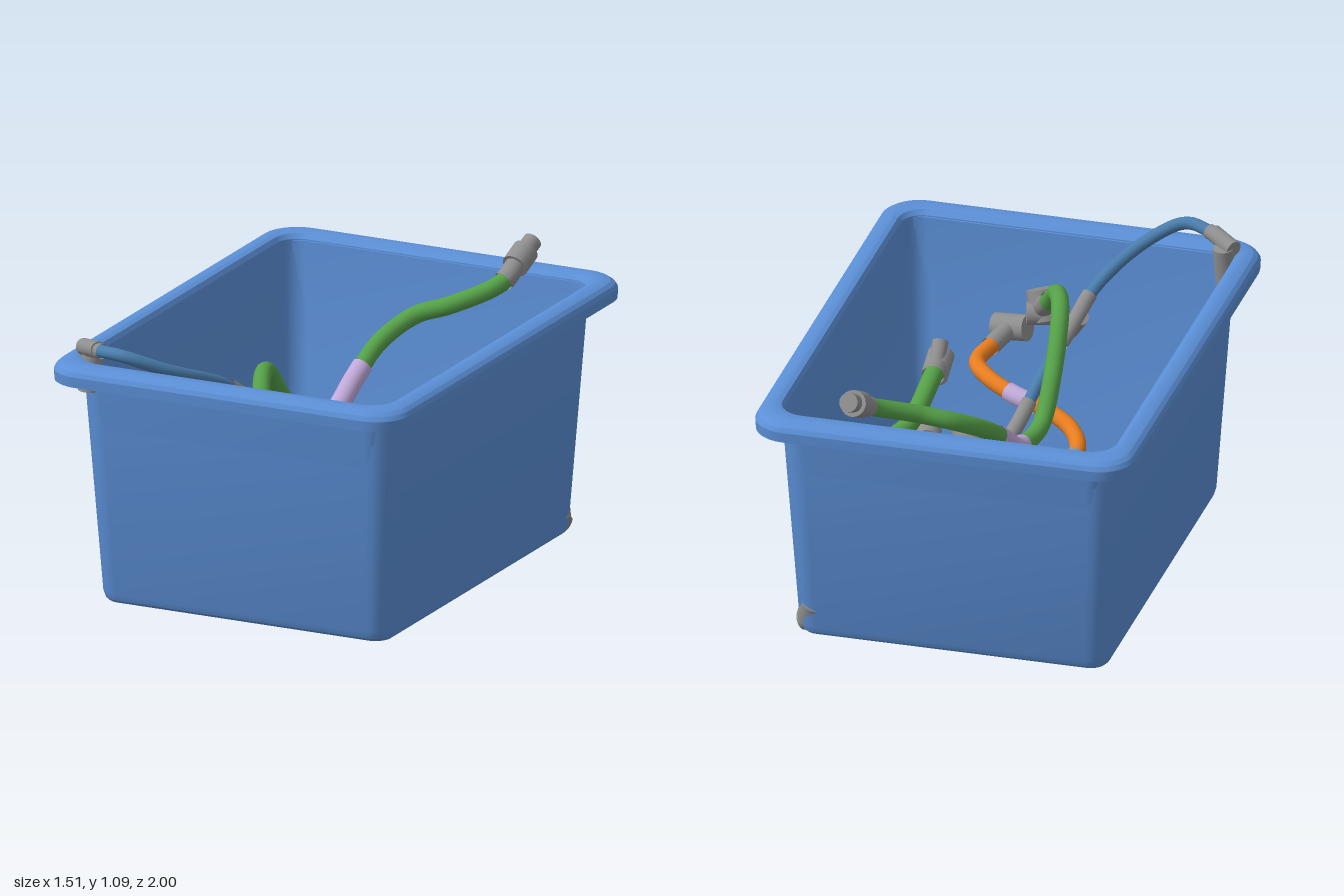
import * as THREE from 'three';
import { toCreasedNormals } from 'three/addons/utils/BufferGeometryUtils.js';

const material = (name, color, side = THREE.DoubleSide) =>
  Object.assign(new THREE.MeshStandardMaterial({ color, side }), { name });

export function createModel() {
  const group = new THREE.Group();
  const tubBlue = material('tub blue', 0x5b8fd6);
  const green = material('hose green', 0x55a048);
  const orange = material('hose orange', 0xee8020);
  const steelBlue = material('hose blue', 0x4a7dac);
  const lavender = material('sleeve lavender', 0xc0a8d8);
  const gray = material('fitting gray', 0x8e8e8e);

  const add = (name, geometry, mat) => {
    const mesh = new THREE.Mesh(geometry, mat);
    mesh.name = name;
    group.add(mesh);
    return mesh;
  };

  // Tub: rounded rectangles [y, half width, half length, corner radius], lofted
  // up the outside, under and over the hollow rim and down the inside
  const sections = [
    [0.01, 0, 0, 0], [0.01, 0.565, 0.755, 0.05], [0.014, 0.577, 0.768, 0.06], [0.025, 0.588, 0.78, 0.07],
    [0.05, 0.596, 0.79, 0.08], [0.945, 0.652, 0.858, 0.1], [0.945, 0.70, 0.955, 0.125], [0.895, 0.712, 0.967, 0.13],
    [0.895, 0.724, 0.979, 0.135], [0.935, 0.726, 0.981, 0.135], [0.952, 0.718, 0.973, 0.135], [0.964, 0.704, 0.959, 0.13],
    [0.971, 0.685, 0.938, 0.125], [0.972, 0.66, 0.91, 0.11], [0.967, 0.643, 0.885, 0.1], [0.95, 0.632, 0.866, 0.085],
    [0.07, 0.577, 0.772, 0.07], [0.045, 0.57, 0.765, 0.065], [0.03, 0.557, 0.752, 0.06], [0.025, 0.535, 0.73, 0.05],
    [0.025, 0, 0, 0],
  ];
  const steps = 7, count = 4 * (steps + 1);
  const positions = [], index = [];
  sections.forEach(([y, w, l, r], i) => {
    for (let c = 0; c < 4; c++) {
      const sx = c === 0 || c === 3 ? 1 : -1, sz = c < 2 ? 1 : -1;
      for (let k = 0; k <= steps; k++) {
        const a = (c + k / steps) * Math.PI / 2;
        positions.push(sx * (w - r) + r * Math.cos(a), y, sz * (l - r) + r * Math.sin(a));
      }
    }
    if (i === 0) return;
    for (let j = 0; j < count; j++) {
      const a = (i - 1) * count + j, b = (i - 1) * count + (j + 1) % count;
      index.push(a, a + count, b, b, a + count, b + count);
    }
  });
  const tub = new THREE.BufferGeometry();
  tub.setAttribute('position', new THREE.Float32BufferAttribute(positions, 3));
  tub.setIndex(index);
  add('tub', toCreasedNormals(tub, 0.32), tubBlue).rotation.y = -0.033;

  // Straight round fitting between two points
  const rod = (name, mat, r, from, to) => {
    const a = new THREE.Vector3(...from), b = new THREE.Vector3(...to);
    const mesh = add(name, new THREE.CylinderGeometry(r, r, a.distanceTo(b), 20), mat);
    mesh.position.copy(a).add(b).multiplyScalar(0.5);
    mesh.quaternion.setFromUnitVectors(new THREE.Vector3(0, 1, 0), b.sub(a).normalize());
  };

  // Hose through points; sleeves cover [from, to] counted in path points
  const hose = (name, mat, r, path, sleeves) => {
    const curve = new THREE.CatmullRomCurve3(path.map(p => new THREE.Vector3(...p)));
    const last = path.length - 1;
    add(name, new THREE.TubeGeometry(curve, 100, r, 14), mat);
    for (const [from, to, sleeveMat] of sleeves) {
      const part = [];
      for (let k = 0; k <= 6; k++) part.push(curve.getPoint((from + (to - from) * k / 6) / last));
      const tube = new THREE.TubeGeometry(new THREE.CatmullRomCurve3(part), 14, r + 0.005, 16);
      add(name + 'Sleeve', tube, sleeveMat);
    }
  };

  // Upper green hose, leaning over the back rim
  hose('upperGreenHose', green, 0.034, [
    [0.37, 1.0, -0.79], [0.35, 0.95, -0.70], [0.2, 0.88, -0.58], [0.08, 0.84, -0.53], [-0.01, 0.76, -0.41],
    [-0.045, 0.66, -0.27], [-0.07, 0.56, -0.13], [-0.11, 0.56, 0.05], [-0.12, 0.7, 0.2], [-0.10, 0.87, 0.40],
    [-0.05, 0.86, 0.55], [0.01, 0.76, 0.66], [0.05, 0.70, 0.74],
  ], [[0, 0.9, gray], [4.7, 6.2, lavender], [10.8, 12, gray]]);
  rod('upperGreenCap', gray, 0.05, [0.368, 0.995, -0.78], [0.378, 1.035, -0.855]);
  rod('upperGreenTip', gray, 0.036, [0.378, 1.035, -0.85], [0.385, 1.06, -0.9]);
  rod('upperGreenElbow', gray, 0.044, [-0.03, 0.67, 0.77], [0.11, 0.67, 0.73]);
  rod('upperGreenFoot', gray, 0.055, [0.04, 0.64, 0.75], [0.07, 0.75, 0.785]);

  // Thin blue hose, arching over the front left rim
  hose('blueHose', steelBlue, 0.024, [
    [-0.64, 1.0, 0.80], [-0.55, 1.02, 0.87], [-0.45, 1.025, 0.905], [-0.31, 0.965, 0.82], [-0.18, 0.87, 0.61],
    [-0.13, 0.78, 0.48], [-0.06, 0.65, 0.27], [-0.01, 0.53, 0.11], [0.04, 0.45, 0.02], [0.16, 0.37, -0.16],
    [0.3, 0.3, -0.29], [0.41, 0.22, -0.47], [0.48, 0.15, -0.6], [0.55, 0.07, -0.72],
  ], [[0, 1, gray], [4.2, 5.4, gray], [6.5, 7.8, gray], [10.75, 11.5, lavender], [11.5, 13, gray]]);
  rod('blueSocket', gray, 0.032, [-0.665, 1.0, 0.785], [-0.57, 1.02, 0.86]);
  rod('blueElbow', gray, 0.04, [-0.625, 1.0, 0.79], [-0.632, 0.84, 0.81]);
  rod('blueBranch', gray, 0.035, [-0.15, 0.8, 0.5], [-0.09, 0.7, 0.58]);
  rod('blueCornerElbow', gray, 0.055, [0.55, 0.14, -0.73], [0.575, 0.06, -0.70]);
  rod('blueCornerTip', gray, 0.042, [0.54, 0.075, -0.72], [0.605, 0.045, -0.70]);

  // Orange hose along the back and right-hand side
  hose('longOrangeHose', orange, 0.031, [
    [-0.45, 0.32, -0.72], [-0.43, 0.34, -0.53], [-0.34, 0.37, -0.42], [-0.2, 0.38, -0.38], [-0.06, 0.38, -0.38],
    [0.09, 0.36, -0.385], [0.2, 0.29, -0.34], [0.26, 0.23, -0.2], [0.31, 0.2, 0.0], [0.335, 0.2, 0.18],
    [0.35, 0.2, 0.33], [0.30, 0.19, 0.46], [0.28, 0.17, 0.58],
  ], [[0, 0.95, gray], [2.7, 4.05, lavender], [6.7, 7.25, lavender], [8.75, 9.25, lavender], [10.7, 12, gray]]);
  rod('longOrangeTee', gray, 0.044, [-0.55, 0.32, -0.715], [-0.37, 0.32, -0.735]);
  rod('longOrangeTeeCap', gray, 0.052, [-0.42, 0.32, -0.73], [-0.35, 0.32, -0.74]);
  rod('longOrangeSocket', gray, 0.042, [-0.45, 0.32, -0.72], [-0.44, 0.335, -0.6]);
  rod('longOrangeBranch', lavender, 0.034, [0.25, 0.24, -0.18], [0.42, 0.26, -0.21]);
  rod('longOrangeCollar', lavender, 0.04, [0.33, 0.2, 0.155], [0.336, 0.2, 0.205]);
  rod('longOrangeValve', lavender, 0.02, [0.38, 0.21, 0.17], [0.23, 0.23, 0.185]);
  rod('longOrangeValveHead', lavender, 0.03, [0.25, 0.23, 0.185], [0.18, 0.24, 0.185]);
  rod('longOrangeCap', gray, 0.062, [0.28, 0.12, 0.58], [0.31, 0.23, 0.64]);

  // Orange hose winding through the middle
  hose('windingOrangeHose', orange, 0.031, [
    [0.35, 0.2, -0.6], [0.2, 0.22, -0.55], [0.08, 0.24, -0.47], [-0.02, 0.28, -0.34], [-0.13, 0.37, -0.19],
    [-0.2, 0.43, -0.08], [-0.25, 0.47, 0.05], [-0.2, 0.5, 0.17], [-0.08, 0.53, 0.25], [0.05, 0.55, 0.3],
    [0.17, 0.57, 0.38], [0.24, 0.57, 0.5], [0.21, 0.58, 0.64], [0.18, 0.59, 0.75],
  ], [[0, 1, gray], [4.7, 5.3, lavender], [5.3, 5.9, gray], [8.3, 9.2, lavender], [11.8, 13, gray]]);
  rod('windingOrangeBranch', lavender, 0.038, [-0.16, 0.43, -0.075], [-0.33, 0.45, -0.13]);
  rod('windingOrangeElbow', gray, 0.05, [0.11, 0.6, 0.75], [0.24, 0.58, 0.78]);
  rod('windingOrangeCap', gray, 0.046, [0.25, 0.21, -0.56], [0.39, 0.2, -0.60]);
  rod('windingOrangeTip', gray, 0.05, [0.34, 0.16, -0.68], [0.39, 0.2, -0.75]);

  // Green hose along the right-hand wall
  hose('sideGreenHose', green, 0.036, [
    [-0.18, 0.25, -0.72], [-0.1, 0.24, -0.65], [0.08, 0.18, -0.52], [0.29, 0.13, -0.43], [0.43, 0.12, -0.32],
    [0.51, 0.18, -0.15], [0.53, 0.23, -0.03], [0.56, 0.3, 0.2], [0.48, 0.32, 0.42], [0.44, 0.42, 0.6],
    [0.445, 0.42, 0.73],
  ], [[0, 0.8, gray], [2.8, 3.2, gray], [5.3, 6.25, lavender], [9.2, 10, gray]]);
  rod('sideGreenTee', gray, 0.05, [-0.28, 0.25, -0.735], [-0.11, 0.25, -0.75]);
  rod('sideGreenFoot', gray, 0.055, [-0.19, 0.27, -0.745], [-0.16, 0.16, -0.73]);
  rod('sideGreenCap', gray, 0.05, [0.445, 0.40, 0.67], [0.445, 0.44, 0.775]);
  rod('sideGreenTip', gray, 0.03, [0.445, 0.44, 0.71], [0.445, 0.5, 0.765]);

  // Lowest green hose, resting on the floor
  hose('floorGreenHose', green, 0.034, [
    [-0.5, 0.1, -0.56], [-0.38, 0.1, -0.46], [-0.25, 0.09, -0.36], [-0.1, 0.08, -0.33], [0.1, 0.07, -0.32],
    [0.28, 0.034, -0.3], [0.36, 0.06, -0.18], [0.4, 0.08, -0.05], [0.43, 0.08, 0.12], [0.43, 0.07, 0.25],
    [0.41, 0.05, 0.45], [0.405, 0.034, 0.57], [0.49, 0.12, 0.73],
  ], [[0, 0.7, gray], [3.6, 4.4, lavender], [6, 7.3, lavender], [11.3, 12, gray]]);
  rod('floorGreenCap', gray, 0.05, [-0.56, 0.11, -0.55], [-0.47, 0.11, -0.58]);
  rod('floorGreenElbow', gray, 0.05, [0.47, 0.13, 0.66], [0.49, 0.13, 0.76]);
  rod('floorGreenBranch', lavender, 0.034, [0.08, 0.07, -0.34], [0.14, 0.11, -0.29]);

  // Loose fitting standing in the middle
  rod('looseFitting', gray, 0.058, [0.1, 0.08, 0.27], [0.02, 0.36, 0.18]);
  return group;
}
